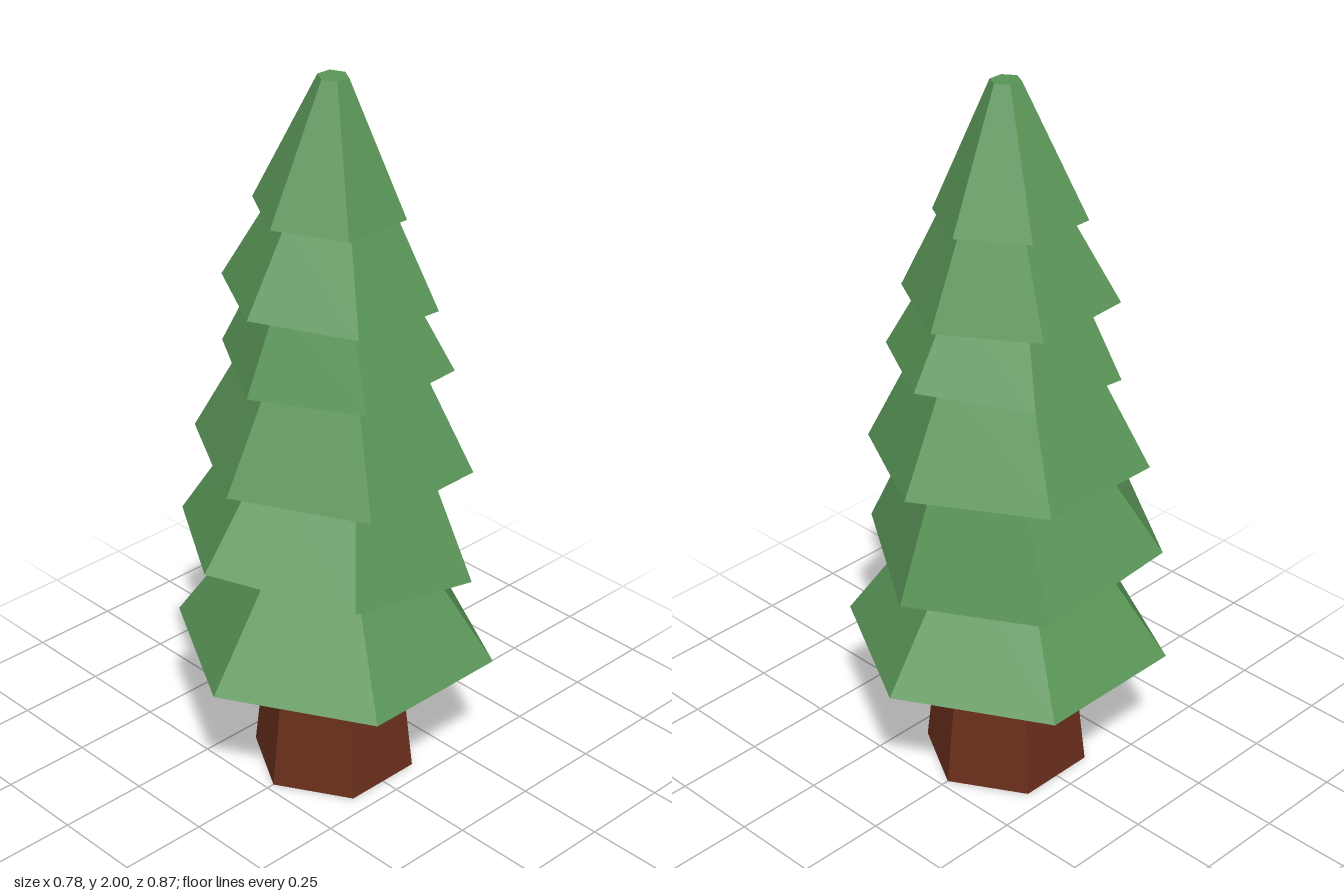
import * as THREE from 'three';

const SIDES = 6;
const DEG = Math.PI / 180;

// One hollow-bottomed tier: [rim y, rim radius, top radius, height, x stretch, tilt x, tilt z, yaw]
const TIERS = [
  [0.39, 0.435, 0.18, 0.38, 1.04, 0, 0, 0],
  [0.69, 0.402, 0.235, 0.32, 1.04, -8.6, 0, -4],
  [0.967, 0.37, 0.225, 0.29, 1.045, 0.8, -2.1, 0],
  [1.237, 0.306, 0.19, 0.23, 1.04, 4.2, -1, -1.5],
  [1.423, 0.28, 0.155, 0.245, 1.04, -2.5, -1.5, 0],
  [1.648, 0.2, 0.04, 0.352, 1.01, 0, -2.5, 0],
];

function tierGeometry(rim, top, height) {
  const inner = rim * 0.7;
  // Recess stops just short of the sloping outer wall
  const depth = 0.8 * height * (rim - inner) / (rim - top);
  const profile = [
    [0, depth], [inner, depth], [inner, 0], [rim, 0], [top, height], [0, height],
  ].map(([x, y]) => new THREE.Vector2(x, y));
  return new THREE.LatheGeometry(profile, SIDES);
}

export function createModel() {
  const tree = new THREE.Group();
  tree.name = 'pineTree';
  const leaf = new THREE.MeshStandardMaterial({ color: 0x5a9658, flatShading: true });
  const bark = new THREE.MeshStandardMaterial({ color: 0x6b2f1c, flatShading: true });

  // Tapered trunk, running up into the lowest tier
  const trunk = new THREE.Mesh(new THREE.CylinderGeometry(0.165, 0.228, 0.57, SIDES), bark);
  trunk.name = 'trunk';
  trunk.position.y = 0.285;
  tree.add(trunk);

  // Foliage tiers, each tilted about a point on the axis above its rim
  TIERS.forEach(([y, rim, top, height, stretch, tiltX, tiltZ, yaw], i) => {
    const pivot = i === TIERS.length - 1 ? height : 0.22;
    const geometry = tierGeometry(rim, top, height);
    geometry.rotateY(yaw * DEG);
    geometry.scale(stretch, 1, 1);
    geometry.translate(0, -pivot, 0);
    const tier = new THREE.Mesh(geometry, leaf);
    tier.name = `foliageTier${i + 1}`;
    tier.position.y = y + pivot;
    tier.rotation.set(tiltX * DEG, 0, tiltZ * DEG);
    tree.add(tier);
  });

  return tree;
}
